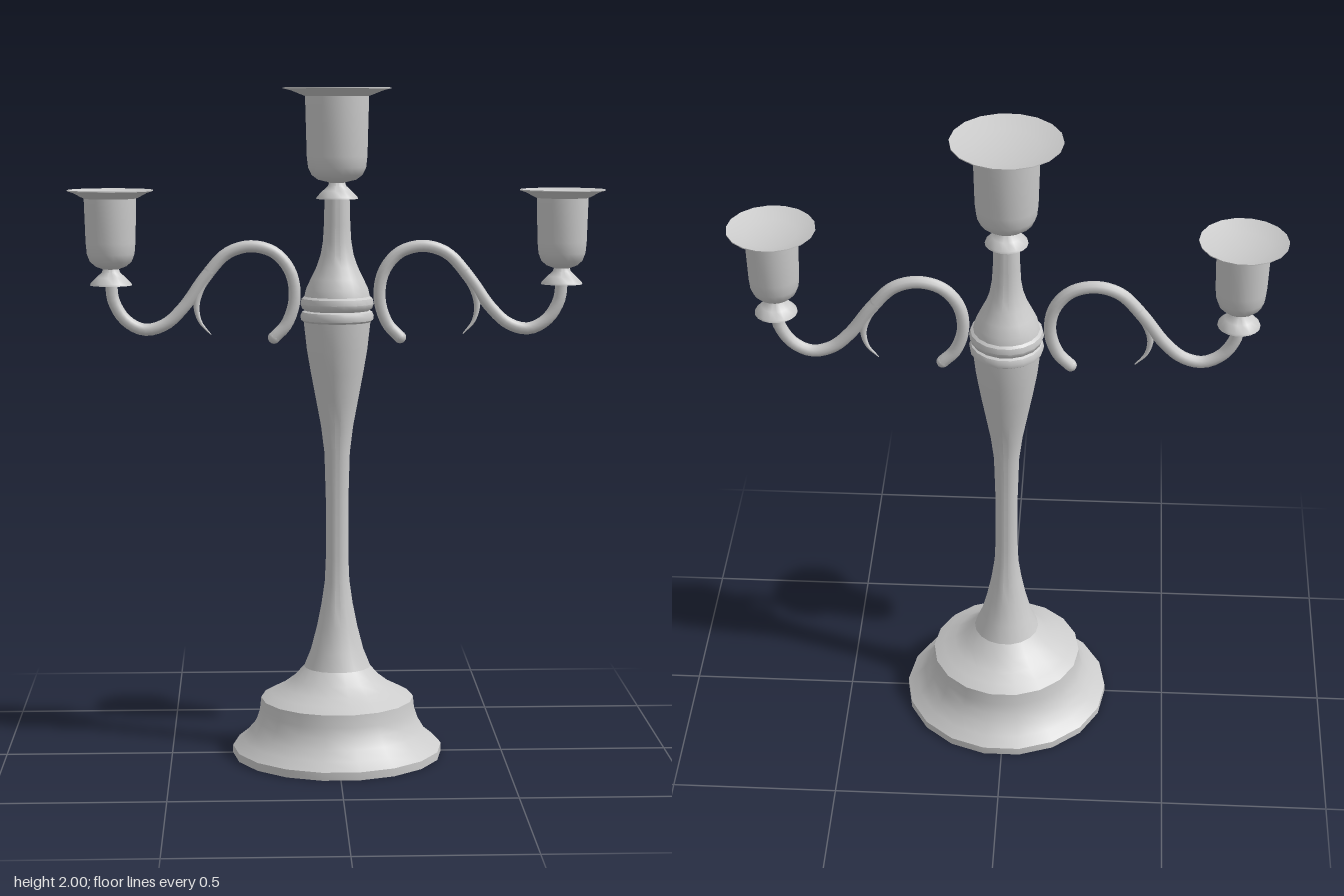
import * as THREE from 'three';
import { toCreasedNormals } from 'three/addons/utils/BufferGeometryUtils.js';

const metal = new THREE.MeshStandardMaterial({ color: 0xcccccc, side: THREE.DoubleSide });
const SIDES = 18;

// Turned part from [radius, height] pairs, bottom to top
function turned(name, profile) {
  const points = profile.map(([r, y]) => new THREE.Vector2(r, y));
  const geometry = new THREE.LatheGeometry(points, SIDES, Math.PI / SIDES);
  const mesh = new THREE.Mesh(toCreasedNormals(geometry, 0.65), metal);
  mesh.name = name;
  return mesh;
}

// Round rod along a curve; radiusAt(t) lets it taper
function rod(name, points, steps, radiusAt) {
  const curve = new THREE.CatmullRomCurve3(points.map(([x, y]) => new THREE.Vector3(x, y, 0)));
  const geometry = new THREE.TubeGeometry(curve, steps, 1, 10);
  const pos = geometry.attributes.position;
  const v = new THREE.Vector3();
  for (let i = 0; i < pos.count; i++) {
    const t = Math.floor(i / 11) / steps;
    const centre = curve.getPointAt(t);
    v.fromBufferAttribute(pos, i).sub(centre).multiplyScalar(radiusAt(t)).add(centre);
    pos.setXYZ(i, v.x, v.y, v.z);
  }
  geometry.computeBoundingSphere();
  const mesh = new THREE.Mesh(geometry, metal);
  mesh.name = name;
  return mesh;
}

// Candle cup with drip collar; height h, body radius b, rim radius r
function candleHolder(name, h, b, r) {
  const group = new THREE.Group();
  group.name = name;
  group.add(turned('collar', [
    [0, 0], [0.062, 0], [0.06, 0.006], [0.042, 0.024], [0.027, 0.038], [0.022, 0.052],
  ]));
  group.add(turned('cup', [
    [0.02, 0.046], [0.03, 0.05], [b * 0.6, 0.056], [b * 0.8, 0.07], [b * 0.91, 0.092], [b * 0.95, 0.125],
    [b, h - 0.025], [b * 1.12, h - 0.021], [r * 0.85, h - 0.009], [r, h - 0.003],
    [r, h], [r * 0.6, h - 0.018], [0, h - 0.018],
  ]));
  return group;
}

function createArm(side) {
  const arm = new THREE.Group();
  arm.name = side > 0 ? 'leftArm' : 'rightArm';

  // S-shaped branch, its inner end curling under
  arm.add(rod('branch', [
    [0.187, 1.265], [0.15, 1.305], [0.126, 1.38], [0.138, 1.46], [0.185, 1.517],
    [0.255, 1.536], [0.325, 1.515], [0.39, 1.445], [0.455, 1.355], [0.51, 1.305],
    [0.57, 1.29], [0.625, 1.318], [0.66, 1.375], [0.667, 1.43],
  ], 56, () => 0.0185));
  const tip = new THREE.Mesh(new THREE.SphereGeometry(0.0185, 10, 8), metal);
  tip.name = 'branchTip';
  tip.position.set(0.187, 1.265, 0);
  arm.add(tip);

  // Thin tendril tapering to a point
  arm.add(rod('tendril', [
    [0.375, 1.465], [0.404, 1.415], [0.416, 1.36], [0.405, 1.312], [0.374, 1.275],
  ], 16, t => 0.0175 * (1 - t) + 0.0015));

  const holder = candleHolder('armCandleHolder', 0.28, 0.077, 0.127);
  holder.position.set(0.667, 1.422, 0);
  arm.add(holder);

  if (side < 0) arm.rotation.y = Math.PI;
  return arm;
}

export function createModel() {
  const model = new THREE.Group();
  model.name = 'candelabra';

  // Stepped foot
  model.add(turned('foot', [
    [0, 0], [0.316, 0], [0.316, 0.024], [0.286, 0.048], [0.262, 0.075], [0.244, 0.105],
    [0.234, 0.135], [0.23, 0.172], [0.2, 0.189], [0.165, 0.207], [0.132, 0.232], [0.1, 0.268],
  ]));

  // Slender stem swelling toward the top
  model.add(turned('stem', [
    [0.1, 0.268], [0.079, 0.32], [0.061, 0.39], [0.047, 0.46], [0.037, 0.53], [0.034, 0.6],
    [0.034, 0.78], [0.038, 0.92], [0.048, 1.0], [0.063, 1.08], [0.078, 1.16],
    [0.09, 1.23], [0.099, 1.312],
  ]));

  // Double bead where the arms join
  model.add(turned('beads', [
    [0.099, 1.312], [0.107, 1.318], [0.109, 1.33], [0.104, 1.342], [0.096, 1.346],
    [0.104, 1.352], [0.109, 1.366], [0.105, 1.382], [0.097, 1.388],
  ]));

  // Tapering neck
  model.add(turned('neck', [
    [0.097, 1.388], [0.092, 1.41], [0.078, 1.44], [0.061, 1.475], [0.049, 1.51],
    [0.042, 1.55], [0.039, 1.6], [0.037, 1.68],
  ]));

  const top = candleHolder('topCandleHolder', 0.325, 0.094, 0.159);
  top.position.y = 1.675;
  model.add(top);

  for (const side of [1, -1]) model.add(createArm(side));
  return model;
}
